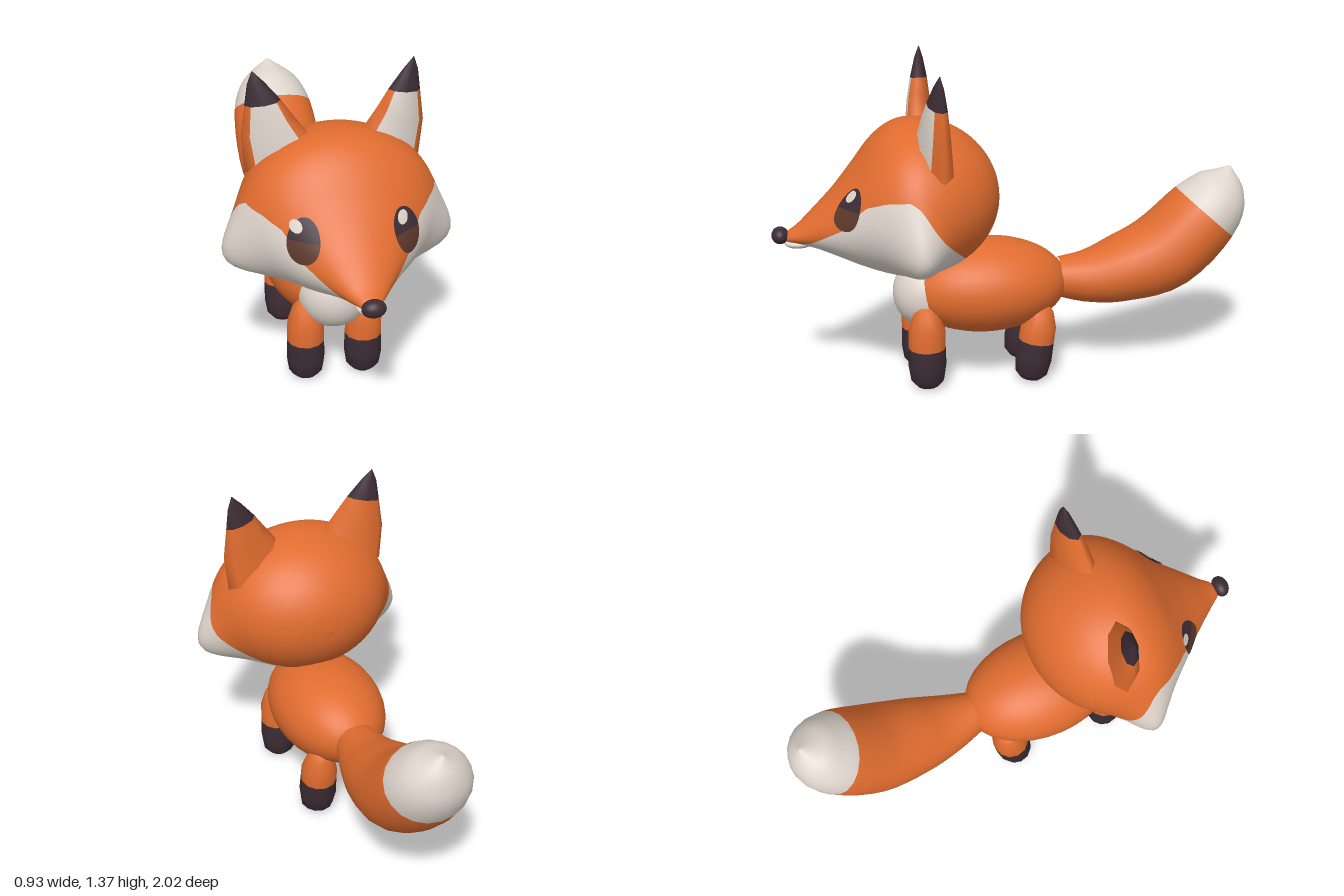
import * as THREE from 'three';

const mat = (name, color) => Object.assign(new THREE.MeshStandardMaterial({ color }), { name });

// Skin a list of rings (points counter-clockwise about the direction of travel);
// pick(i, j) gives the material index of each cell.
function loft(name, rings, materials, pick) {
  const n = rings[0].length;
  const geo = new THREE.BufferGeometry().setFromPoints(rings.flat());
  const faces = materials.map(() => []);
  for (let i = 0; i < rings.length - 1; i++) {
    for (let j = 0; j < n; j++) {
      const k = (j + 1) % n;
      const a = i * n + j, b = i * n + k, c = b + n, d = a + n;
      faces[pick(i, j)].push(a, b, d, b, c, d);
    }
  }
  geo.setIndex(faces.flat());
  let start = 0;
  faces.forEach((f, m) => {
    geo.addGroup(start, f.length, m);
    start += f.length;
  });
  geo.computeVertexNormals();
  const mesh = new THREE.Mesh(geo, materials);
  mesh.name = name;
  return mesh;
}

// Smooth curve through three columns of a table
const curve = (rows, a, b, c) => new THREE.CatmullRomCurve3(
  rows.map(r => new THREE.Vector3(r[a], r[b], r[c])), false, 'catmullrom');

function ball(name, material, pos, size) {
  const mesh = new THREE.Mesh(new THREE.SphereGeometry(1, 32, 20), material);
  mesh.position.set(...pos);
  mesh.scale.set(...size);
  mesh.name = name;
  return mesh;
}

function buildHead(orange, cream) {
  // z, top, bottom, half width, height of the widest point
  const rows = [];
  for (let i = 0; i <= 6; i++) {
    const a = i * Math.PI / 12, s = Math.sin(a);
    rows.push([0.42 - 0.36 * Math.cos(a), 0.81 + 0.325 * s, 0.81 - 0.32 * s, 0.39 * s, 0.81]);
  }
  rows.push(
    [0.5, 1.115, 0.495, 0.375, 0.8], [0.58, 1.055, 0.517, 0.33, 0.78],
    [0.66, 0.955, 0.547, 0.265, 0.75], [0.74, 0.86, 0.582, 0.19, 0.72],
    [0.82, 0.78, 0.615, 0.125, 0.7], [0.89, 0.715, 0.635, 0.07, 0.675],
    [0.935, 0.685, 0.645, 0.035, 0.665], [0.95, 0.66, 0.66, 0, 0.66]);
  const heights = curve(rows, 0, 1, 2), widths = curve(rows, 0, 3, 4);
  // Upper edge of the cream face: z, y
  const edge = [[0, 0.29], [0.21, 0.565], [0.43, 0.87], [0.47, 0.895], [0.56, 0.88], [0.63, 0.85],
    [0.68, 0.8], [0.725, 0.74], [0.8, 0.69], [0.85, 0.655], [0.95, 0.635]];
  const edgeY = z => {
    const i = Math.max(1, edge.findIndex(e => e[0] >= z));
    const [p, q] = [edge[i - 1], edge[i]];
    return p[1] + (q[1] - p[1]) * (z - p[0]) / (q[0] - p[0]);
  };
  const steps = 84, low = 16, high = 20, half = low + high, rings = [];
  for (let i = 0; i <= steps; i++) {
    const { x: z, y: top, z: bottom } = heights.getPoint(i / steps);
    const { y: w, z: mid } = widths.getPoint(i / steps);
    const rise = edgeY(Math.min(z, 0.95)) - mid;
    const cos = rise / Math.max(1e-4, rise > 0 ? top - mid : mid - bottom);
    const split = Math.min(Math.PI - 0.02, Math.max(0.02, Math.acos(Math.max(-1, Math.min(1, cos)))));
    const ring = [];
    for (let j = 0; j < 2 * half; j++) {
      const k = j <= half ? j : 2 * half - j, side = j <= half ? 1 : -1;
      const phi = k <= low ? Math.PI - (Math.PI - split) * k / low : split * (half - k) / high;
      const c = Math.cos(phi), x = w * Math.sin(phi);
      const y = mid + c * (c > 0 ? top - mid : mid - bottom);
      // Cheek tufts pushed outward and down
      const puff = Math.exp(-(((y - 0.68) / 0.13) ** 2) - ((z - 0.43) / 0.1) ** 2)
        * THREE.MathUtils.smoothstep(x, 0.12, 0.33);
      ring.push(new THREE.Vector3(side * (x + 0.1 * puff), y - 0.045 * puff, z));
    }
    rings.push(ring);
  }
  return loft('head', rings, [orange, cream],
    (i, j) => (rings[i][0].z > 0.2 && (j < low || j >= 2 * half - low) ? 1 : 0));
}

// Oval laid onto the front of the head
function decal(name, head, cx, cy, rx, ry, lean, lift, materials) {
  const ray = new THREE.Raycaster(), rings = [], back = new THREE.Vector3(0, 0, -1);
  for (let i = 0; i <= 6; i++) {
    const r = 1 - i / 6, ring = [];
    for (let j = 0; j < 32; j++) {
      const a = j * Math.PI / 16, dy = r * ry * Math.sin(a);
      ray.set(new THREE.Vector3(cx + r * rx * Math.cos(a) + lean * dy, cy + dy, 2), back);
      const hit = ray.intersectObject(head)[0];
      ring.push(hit.point.clone().addScaledVector(hit.face.normal, lift));
    }
    rings.push(ring);
  }
  return loft(name, rings, materials, (i, j) => (j >= 16 ? 1 : 0));
}

function buildTail(orange, cream) {
  // y, z, vertical radius, sideways radius
  const rows = [[0.41, -0.2, 0.085, 0.09], [0.405, -0.34, 0.115, 0.135], [0.43, -0.48, 0.145, 0.17],
    [0.5, -0.67, 0.17, 0.195], [0.665, -0.845, 0.16, 0.18], [0.78, -0.92, 0.11, 0.12], [0.865, -0.955, 0, 0]]
    .map(r => [0, ...r]);
  const path = curve(rows, 0, 1, 2), radii = curve(rows, 0, 3, 4);
  const rings = [], across = new THREE.Vector3(1, 0, 0);
  for (let i = 0; i <= 24; i++) {
    const p = path.getPoint(i / 24), r = radii.getPoint(i / 24);
    const up = path.getTangent(i / 24).cross(across);
    rings.push(Array.from({ length: 20 }, (_, j) => {
      const a = j * Math.PI / 10;
      return p.clone().addScaledVector(across, r.z * Math.cos(a)).addScaledVector(up, r.y * Math.sin(a));
    }));
  }
  return loft('tail', rings, [orange, cream], i => (i >= 16 ? 1 : 0));
}

function buildEar(name, s, orange, cream, dark) {
  // centre x, y, z, then half width, its drop, half thickness
  const rows = [[0.22, 1.02, 0.355, 0.13, -0.07, 0.065], [0.265, 1.15, 0.352, 0.098, -0.045, 0.05],
    [0.278, 1.245, 0.348, 0.068, -0.012, 0.036], [0.302, 1.325, 0.343, 0.032, -0.004, 0.018],
    [0.315, 1.375, 0.34, 0, 0, 0]];
  const rings = rows.map(([x, y, z, w, drop, t]) => Array.from({ length: 8 }, (_, j) => {
    const a = j * Math.PI / 4, c = Math.cos(a);
    return new THREE.Vector3(s * x + w * c, y + s * drop * c, z - s * 0.2 * w * c - t * Math.sin(a));
  }));
  return loft(name, rings, [orange, cream, dark],
    (i, j) => (i >= 2 ? 2 : j === 5 || j === 6 ? 1 : 0));
}

function buildLeg(name, x, z, top, lean, orange, dark) {
  const leg = new THREE.Group();
  const part = (label, pts, m) => {
    const mesh = new THREE.Mesh(new THREE.LatheGeometry(pts.map(p => new THREE.Vector2(...p)), 12), m);
    mesh.name = label;
    leg.add(mesh);
  };
  part('sock', [[0, 0.003], [0.045, 0.008], [0.07, 0.035], [0.08, 0.1], [0.078, 0.18]], dark);
  part('upperLeg', [[0.078, 0.18], [0.077, top - 0.1], [0.055, top - 0.03], [0.03, top], [0, top]], orange);
  leg.position.set(x, 0, z);
  leg.rotation.x = lean;
  leg.name = name;
  return leg;
}

export function createModel() {
  const orange = mat('orangeFur', 0xe06c2f), cream = mat('creamFur', 0xded5cc);
  const dark = mat('darkFur', 0x3d2c35), brown = mat('eyeBrown', 0x5c392b);
  const model = new THREE.Group();
  model.name = 'fox';

  const head = buildHead(orange, cream);
  model.add(
    head,
    ball('body', orange, [0, 0.403, 0.115], [0.237, 0.2, 0.35]),
    ball('chest', cream, [0, 0.385, 0.37], [0.15, 0.15, 0.14]),
    ball('nose', dark, [0, 0.672, 0.965], [0.047, 0.035, 0.035]),
    ball('chin', cream, [0, 0.637, 0.89], [0.05, 0.022, 0.06]),
    buildTail(orange, cream));

  for (const [side, s] of [['left', 1], ['right', -1]]) {
    model.add(
      buildEar(side + 'Ear', s, orange, cream, dark),
      decal(side + 'Eye', head, s * 0.198, 0.823, 0.055, 0.082, -s * 0.18, 0.004, [dark, brown]),
      decal(side + 'EyeGlint', head, s * 0.2 - 0.018, 0.872, 0.022, 0.023, 0, 0.008, [cream, cream]),
      buildLeg(side + 'FrontLeg', s * 0.122, 0.385, 0.362, 0, orange, dark),
      buildLeg(side + 'BackLeg', s * 0.122, -0.055, 0.34, -0.15, orange, dark));
  }
  return model;
}
